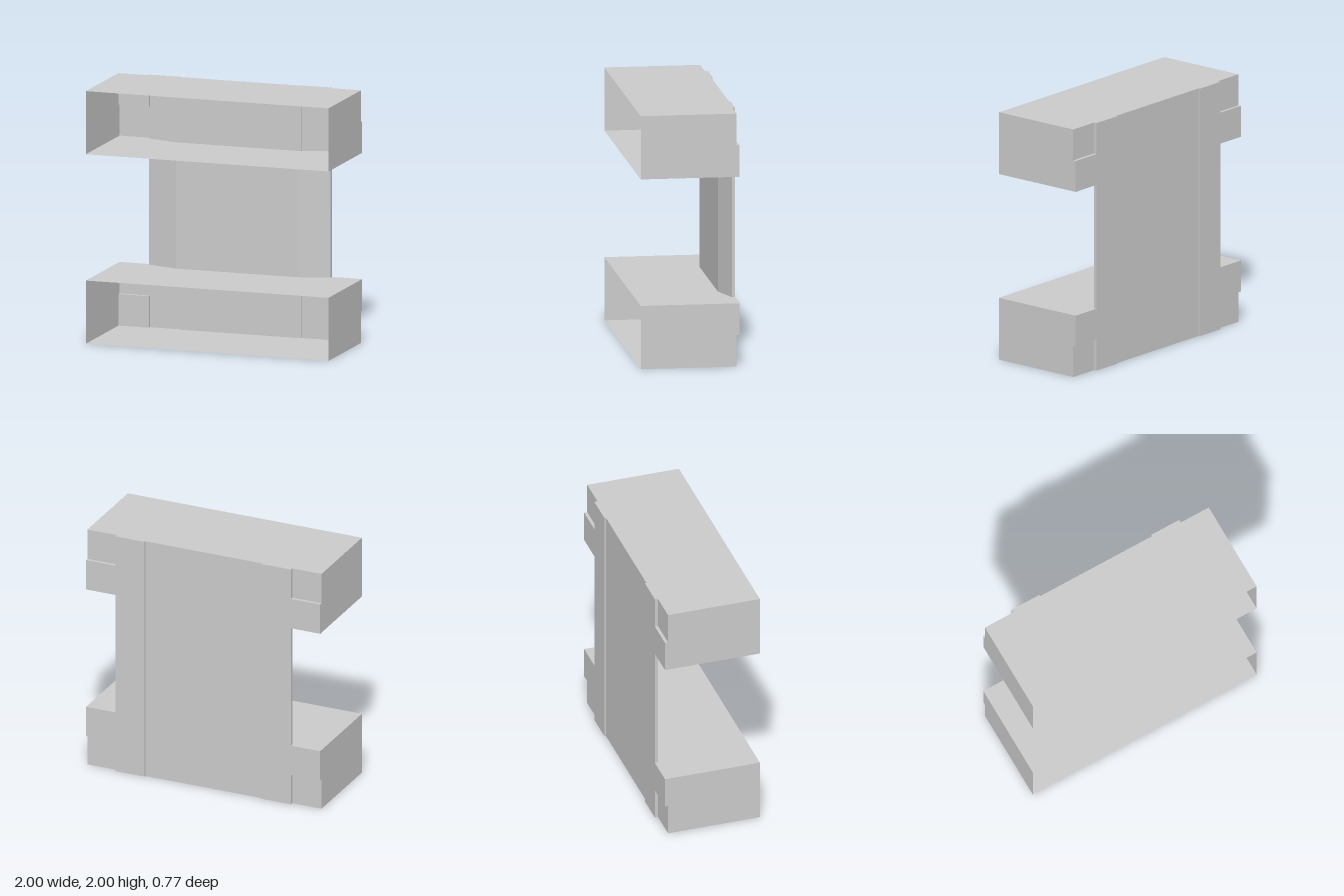
import * as THREE from 'three';

const FRONT = 0.3875;   // open front edge of the trays
const BACK = -0.3875;   // rearmost skin
const CENTRE = -0.375;  // shallow recess down the middle
const CORNER = -0.3625; // recessed corner pads
const RIDGE = -0.2875;  // front of the spine between the trays

const material = new THREE.MeshStandardMaterial({ color: 0xcccccc, flatShading: true, side: THREE.DoubleSide });

// Completes a right-half [x, z] profile with its mirror image, left to right
const mirrored = (half) => [...half.map(([x, z]) => [-x, z]).reverse(), ...half];

// Profiles of the back skin at the different heights
const rib = [[0.5, CENTRE], [0.5, BACK], [0.75, BACK]];
const cornerProfile = mirrored([...rib, [0.75, CORNER], [1, CORNER]]);
const tabProfile = mirrored([[0.5, CENTRE], [0.5, BACK], [1, BACK]]);
const middleProfile = mirrored([...rib, [0.75, CORNER]]);
const spineProfile = mirrored([[0.5, RIDGE], [0.75, CORNER]]);
const shelfProfile = mirrored([[0.5, RIDGE], [0.75, CORNER], [0.75, BACK], [1, BACK]]);

function add(group, name, geometry) {
  const mesh = new THREE.Mesh(geometry, material);
  mesh.name = name;
  group.add(mesh);
  return mesh;
}

const shapeGeometry = (points) =>
  new THREE.ShapeGeometry(new THREE.Shape(points.map(([a, b]) => new THREE.Vector2(a, b))));

// Horizontal sheet from an [x, z] outline
function sheet(group, name, outline, y) {
  add(group, name, shapeGeometry(outline).rotateX(Math.PI / 2)).position.y = y;
}

// Upright skin following an [x, z] profile between two heights
function skin(group, name, profile, y0, y1) {
  const positions = [];
  for (let i = 0; i < profile.length - 1; i++) {
    const [ax, az] = profile[i];
    const [bx, bz] = profile[i + 1];
    positions.push(ax, y0, az, bx, y1, bz, bx, y0, bz);
    positions.push(ax, y0, az, ax, y1, az, bx, y1, bz);
  }
  const geometry = new THREE.BufferGeometry();
  geometry.setAttribute('position', new THREE.Float32BufferAttribute(positions, 3));
  geometry.computeVertexNormals();
  add(group, name, geometry);
}

// Tray open at the front; outer, step and inner are the heights of its layers
function createTray(name, outer, step, inner) {
  const tray = new THREE.Group();
  tray.name = name;
  const closeFront = (profile) => [...profile, [1, FRONT], [-1, FRONT]];
  sheet(tray, 'outerPlate', closeFront(cornerProfile), outer);
  sheet(tray, 'innerPlate', closeFront(shelfProfile), inner);
  skin(tray, 'cornerBackWall', cornerProfile, Math.min(outer, step), Math.max(outer, step));
  skin(tray, 'tabBackWall', tabProfile, Math.min(step, inner), Math.max(step, inner));
  for (const side of [-1, 1]) {
    // End wall, notched at the recessed corner
    const wall = shapeGeometry([
      [FRONT, outer], [CORNER, outer], [CORNER, step], [BACK, step], [BACK, inner], [FRONT, inner],
    ]).rotateY(-Math.PI / 2);
    add(tray, 'endWall', wall).position.x = side;
    // Ledge where the corner pad steps out to the tab
    sheet(tray, 'cornerLedge', [
      [side * 0.75, BACK], [side, BACK], [side, CORNER], [side * 0.75, CORNER],
    ], step);
  }
  return tray;
}

export function createModel() {
  const model = new THREE.Group();
  model.name = 'doubleTray';
  model.add(createTray('upperTray', 2, 1.75, 1.5));
  model.add(createTray('lowerTray', 0, 0.25, 0.5));
  // Hollow spine joining the trays
  skin(model, 'spineBack', middleProfile, 0.5, 1.5);
  skin(model, 'spineFront', [...spineProfile].reverse(), 0.5, 1.5);
  return model;
}
